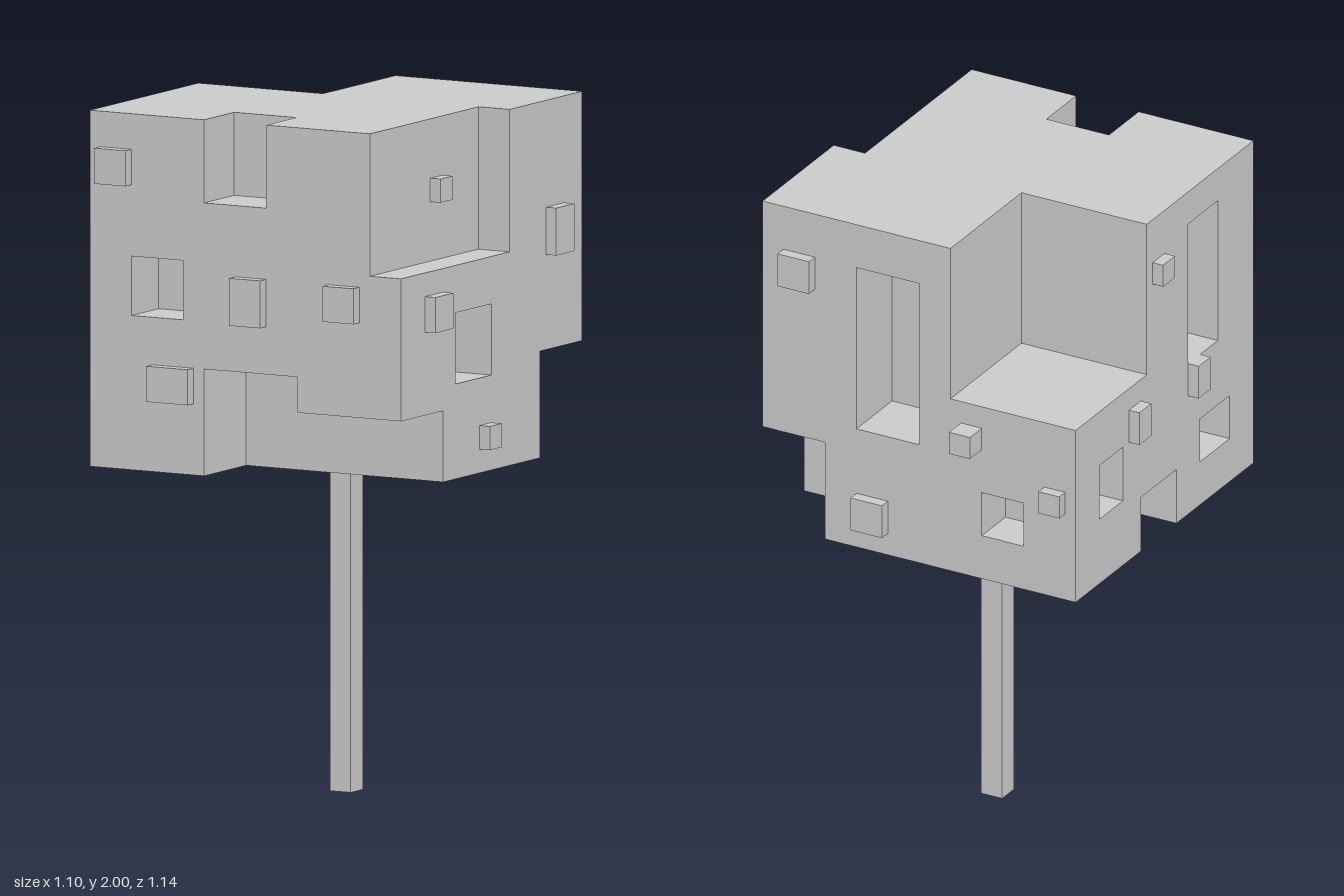
import * as THREE from 'three';

const U = 2 / 58; // one grid unit
const material = new THREE.MeshStandardMaterial({ color: 0xcccccc, flatShading: true });

// Boxes are [x0, x1, y0, y1, z0, z1] in grid units
const BLOCK = [-15, 15, 28, 58, -14.5, 15.5];

const CUTS = [
  // notches through edges and corners
  [-4, 2, 51, 58, 10.5, 15.5],       // front top
  [12, 15, 46, 58, -2.5, 15.5],      // left top
  [-15, -3, 44, 58, -14.5, -2.5],    // back right top corner
  [-4, 5, 28, 37, 8.5, 15.5],        // front bottom
  [5, 15, 28, 34, 8.5, 15.5],        // front left bottom corner
  [9, 15, 28, 37, -14.5, -7.5],      // back left bottom corner
  [-15, -8, 28, 33, -3.5, 2.5],      // right bottom
  // recesses in the faces
  [-11, -6, 41, 46, 11, 15.5],       // front
  [11, 15, 36, 42, 0.5, 6.5],        // left
  [0, 6, 39, 54, -14.5, -8.5],       // back, tall
  [-10, -6, 32, 36, -14.5, -10.5],   // back, small
  [-15, -11, 42, 55, 4.5, 9.5],      // right, tall
  [-15, -11, 34, 39, -10.5, -6.5],   // right, rear
  [-15, -11, 32, 36, 6.5, 11.5],     // right, front
];

const STUDS = {
  frontStud: [
    [-14, -11, 52, 55, 15.5, 16.5], [-1, 2, 41, 45, 15.5, 16.5],
    [8, 11, 42, 45, 15.5, 16.5], [-9, -5, 34, 37, 15.5, 16.5],
  ],
  leftStud: [
    [15, 16, 45, 49, -11.5, -8.5], [15, 16, 41, 44, 8.5, 11.5],
    [15, 16, 30, 32, 0.5, 2.5], [12, 13, 51, 53, 3.5, 5.5],
  ],
  rightStud: [
    [-16, -15, 39, 42, -5.5, -3.5], [-16, -15, 52, 54, -1.5, 0.5],
    [-16, -15, 39, 42, 4.5, 6.5],
  ],
  backStud: [
    [10, 13, 51, 54, -15.5, -14.5], [-6, -4, 40, 42, -16.5, -14.5],
    [-14, -12, 36, 38, -15.5, -14.5], [3, 6, 30, 33, -15.5, -14.5],
  ],
};

// Box minus cuts: split space at every cut plane, keep the outer faces of the solid cells
function carvedGeometry(block, cuts) {
  const planes = [0, 2, 4].map((k) =>
    [...new Set([block, ...cuts].flatMap((b) => [b[k], b[k + 1]]))].sort((a, b) => a - b));
  const solid = (cell) => {
    if (cell.some((i, a) => i < 0 || i >= planes[a].length - 1)) return false;
    const mid = cell.map((i, a) => (planes[a][i] + planes[a][i + 1]) / 2);
    return !cuts.some((c) => mid.every((m, a) => m > c[2 * a] && m < c[2 * a + 1]));
  };
  const positions = [];
  const addFace = (cell, axis, side) => {
    const u = (axis + 1) % 3, v = (axis + 2) % 3;
    const corner = (i, j) => {
      const index = [...cell];
      index[axis] += side;
      index[u] += i;
      index[v] += j;
      return index.map((n, a) => planes[a][n] * U);
    };
    const ring = [corner(0, 0), corner(1, 0), corner(1, 1), corner(0, 1)];
    if (!side) ring.reverse();
    for (const n of [0, 1, 2, 0, 2, 3]) positions.push(...ring[n]);
  };
  for (let x = 0; x < planes[0].length - 1; x++)
    for (let y = 0; y < planes[1].length - 1; y++)
      for (let z = 0; z < planes[2].length - 1; z++) {
        const cell = [x, y, z];
        if (!solid(cell)) continue;
        for (let axis = 0; axis < 3; axis++)
          for (const side of [0, 1]) {
            const next = [...cell];
            next[axis] += side ? 1 : -1;
            if (!solid(next)) addFace(cell, axis, side);
          }
      }
  const geometry = new THREE.BufferGeometry();
  geometry.setAttribute('position', new THREE.Float32BufferAttribute(positions, 3));
  geometry.computeVertexNormals();
  return geometry;
}

function boxMesh(name, [x0, x1, y0, y1, z0, z1]) {
  const mesh = new THREE.Mesh(
    new THREE.BoxGeometry((x1 - x0) * U, (y1 - y0) * U, (z1 - z0) * U), material);
  mesh.position.set(x0 + x1, y0 + y1, z0 + z1).multiplyScalar(U / 2);
  mesh.name = name;
  return mesh;
}

export function createModel() {
  const model = new THREE.Group();
  model.name = 'carvedBlockOnStick';

  // Carved block
  const block = new THREE.Mesh(carvedGeometry(BLOCK, CUTS), material);
  block.name = 'carvedBlock';
  model.add(block);

  // Square stick
  model.add(boxMesh('stick', [0, 2, 0, 28, -0.5, 1.5]));

  // Raised studs on each side
  for (const [name, boxes] of Object.entries(STUDS))
    boxes.forEach((box, i) => model.add(boxMesh(name + (i + 1), box)));

  return model;
}
